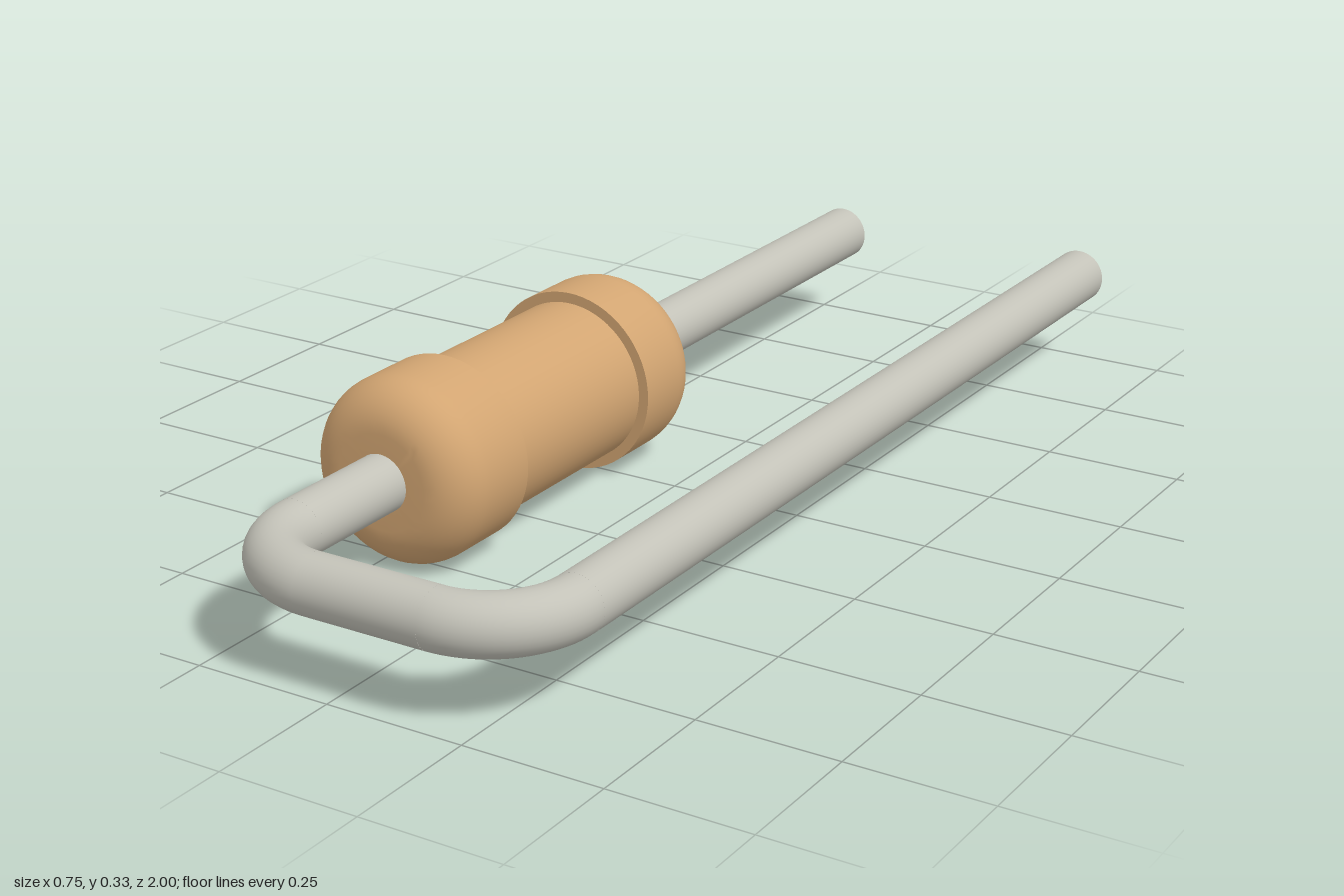
import * as THREE from 'three';
import { toCreasedNormals } from 'three/addons/utils/BufferGeometryUtils.js';

const tan = new THREE.MeshStandardMaterial({ color: 0xd2a572 });
tan.name = 'tan coating';
const metal = new THREE.MeshStandardMaterial({ color: 0xc3c2b8 });
metal.name = 'wire metal';

const AXIS_Y = 0.167;
const BODY_X = -0.209, RETURN_X = 0.322, BODY_Z = 0.207;
const WIRE_R = 0.051, BEND_R = 0.15, FRONT_Z = 1 - WIRE_R;

function add(parent, name, geometry, material, x, z) {
  const mesh = new THREE.Mesh(geometry, material);
  mesh.name = name;
  mesh.position.set(x, 0, z);
  parent.add(mesh);
  return mesh;
}

// Cylinder lying along z
const rod = (radius, length) =>
  new THREE.CylinderGeometry(radius, radius, length, 48).rotateX(Math.PI / 2);

// Quarter bend in the horizontal plane, side +1 bulges to +x and -1 to -x
function elbow(side) {
  const g = new THREE.TorusGeometry(BEND_R, WIRE_R, 32, 20, Math.PI / 2);
  if (side < 0) g.rotateZ(Math.PI / 2);
  return g.rotateX(Math.PI / 2);
}

// End cap with a flat inner face and a rounded outer rim, pointing along +z
function capGeometry() {
  const inner = 0.187, outer = 0.372, radius = 0.166, fillet = 0.08;
  const points = [new THREE.Vector2(0.12, inner), new THREE.Vector2(radius, inner)];
  for (let i = 0; i <= 10; i++) {
    const a = (i / 10) * Math.PI / 2;
    points.push(new THREE.Vector2(
      radius - fillet + fillet * Math.cos(a),
      outer - fillet + fillet * Math.sin(a)));
  }
  points.push(new THREE.Vector2(0.04, outer));
  return toCreasedNormals(new THREE.LatheGeometry(points, 64), 0.6).rotateX(Math.PI / 2);
}

export function createModel() {
  const model = new THREE.Group();
  model.name = 'axialResistor';

  // Body: barrel between two wider caps
  const body = new THREE.Group();
  body.name = 'body';
  body.position.y = AXIS_Y;
  model.add(body);
  add(body, 'barrel', new THREE.CylinderGeometry(0.147, 0.147, 0.4, 64).rotateX(Math.PI / 2),
    tan, BODY_X, BODY_Z);
  add(body, 'frontCap', capGeometry(), tan, BODY_X, BODY_Z);
  add(body, 'backCap', capGeometry(), tan, BODY_X, BODY_Z).rotation.y = Math.PI;

  // Leads: one straight out the back, one folded round to run beside the body
  const leads = new THREE.Group();
  leads.name = 'leads';
  leads.position.y = AXIS_Y;
  model.add(leads);
  const bendZ = FRONT_Z - BEND_R;
  add(leads, 'bodyLead', rod(WIRE_R, bendZ + 1), metal, BODY_X, (bendZ - 1) / 2);
  add(leads, 'returnLead', rod(WIRE_R, bendZ + 1), metal, RETURN_X, (bendZ - 1) / 2);
  add(leads, 'bodyBend', elbow(-1), metal, BODY_X + BEND_R, bendZ);
  add(leads, 'returnBend', elbow(1), metal, RETURN_X - BEND_R, bendZ);
  add(leads, 'crossLead', rod(WIRE_R, RETURN_X - BODY_X - 2 * BEND_R).rotateY(Math.PI / 2),
    metal, (BODY_X + RETURN_X) / 2, FRONT_Z);

  return model;
}
